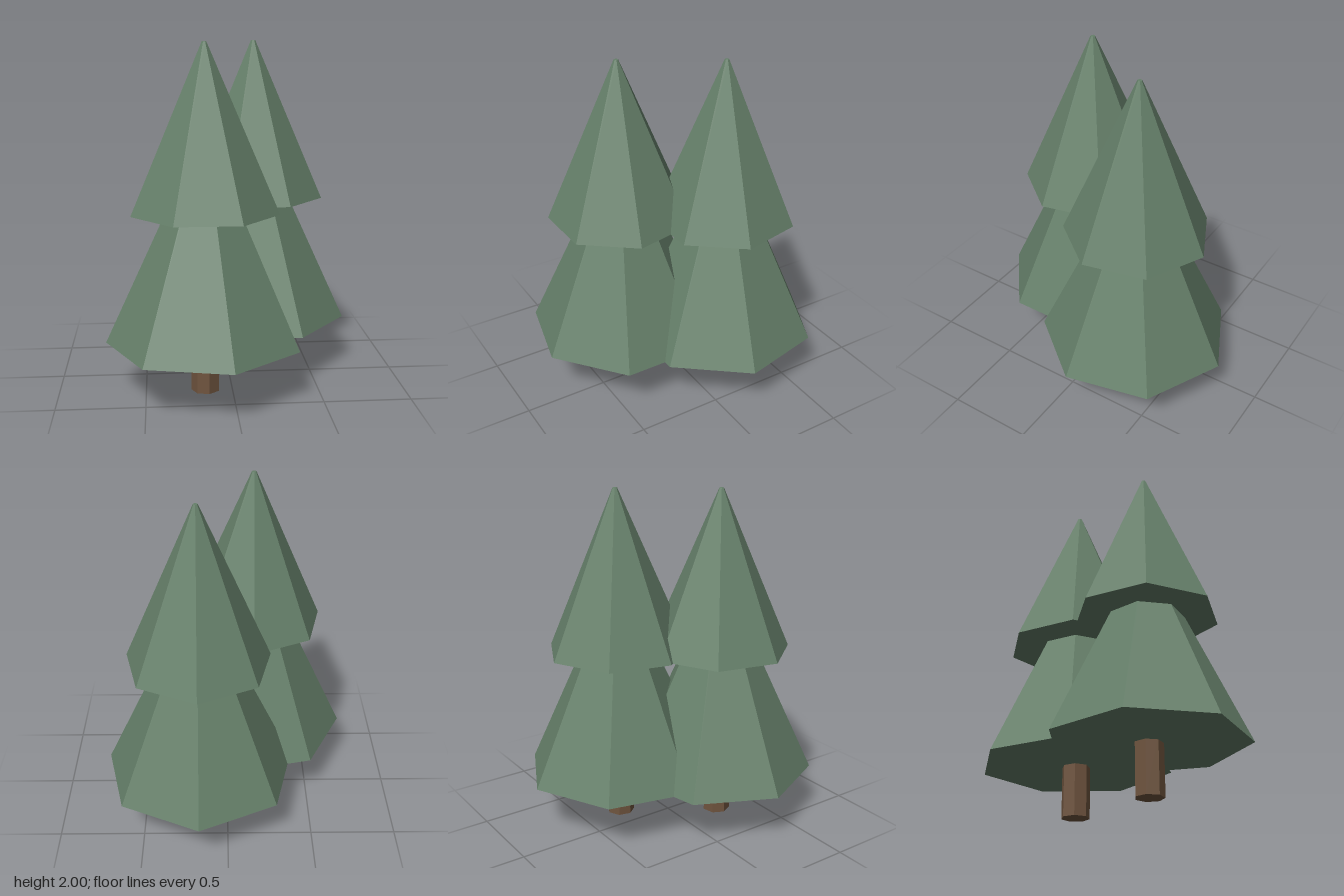
import * as THREE from 'three';

const SIDES = 7;

export function createModel() {
  const needles = new THREE.MeshStandardMaterial({ color: 0x66806a, flatShading: true });
  needles.name = 'needle green';
  const bark = new THREE.MeshStandardMaterial({ color: 0x70553f, flatShading: true });
  bark.name = 'bark brown';

  // Seven-sided tapered tier standing between two heights
  function tier(name, material, topRadius, bottomRadius, y0, y1, turn) {
    const geometry = new THREE.CylinderGeometry(topRadius, bottomRadius, y1 - y0, SIDES);
    const mesh = new THREE.Mesh(geometry, material);
    mesh.name = name;
    mesh.position.y = (y0 + y1) / 2;
    mesh.rotation.y = turn;
    return mesh;
  }

  // One fir: trunk, wide lower skirt and narrower upper skirt
  function fir(name, x, z, baseTurn, height) {
    const tree = new THREE.Group();
    tree.name = name;
    tree.position.set(x, 0, z);
    tree.add(
      tier('trunk', bark, 0.083, 0.083, 0, 0.32, baseTurn),
      tier('lowerBranches', needles, 0.013, 0.57, 0.3, 1.5, baseTurn),
      tier('upperBranches', needles, 0.013, 0.425, 1.05, height, Math.PI)
    );
    return tree;
  }

  const model = new THREE.Group();
  model.name = 'firTrees';
  model.add(
    fir('frontTree', -0.155, 0.26, -Math.PI / 2, 1.995),
    fir('backTree', 0.165, -0.245, Math.PI, 2)
  );
  return model;
}
